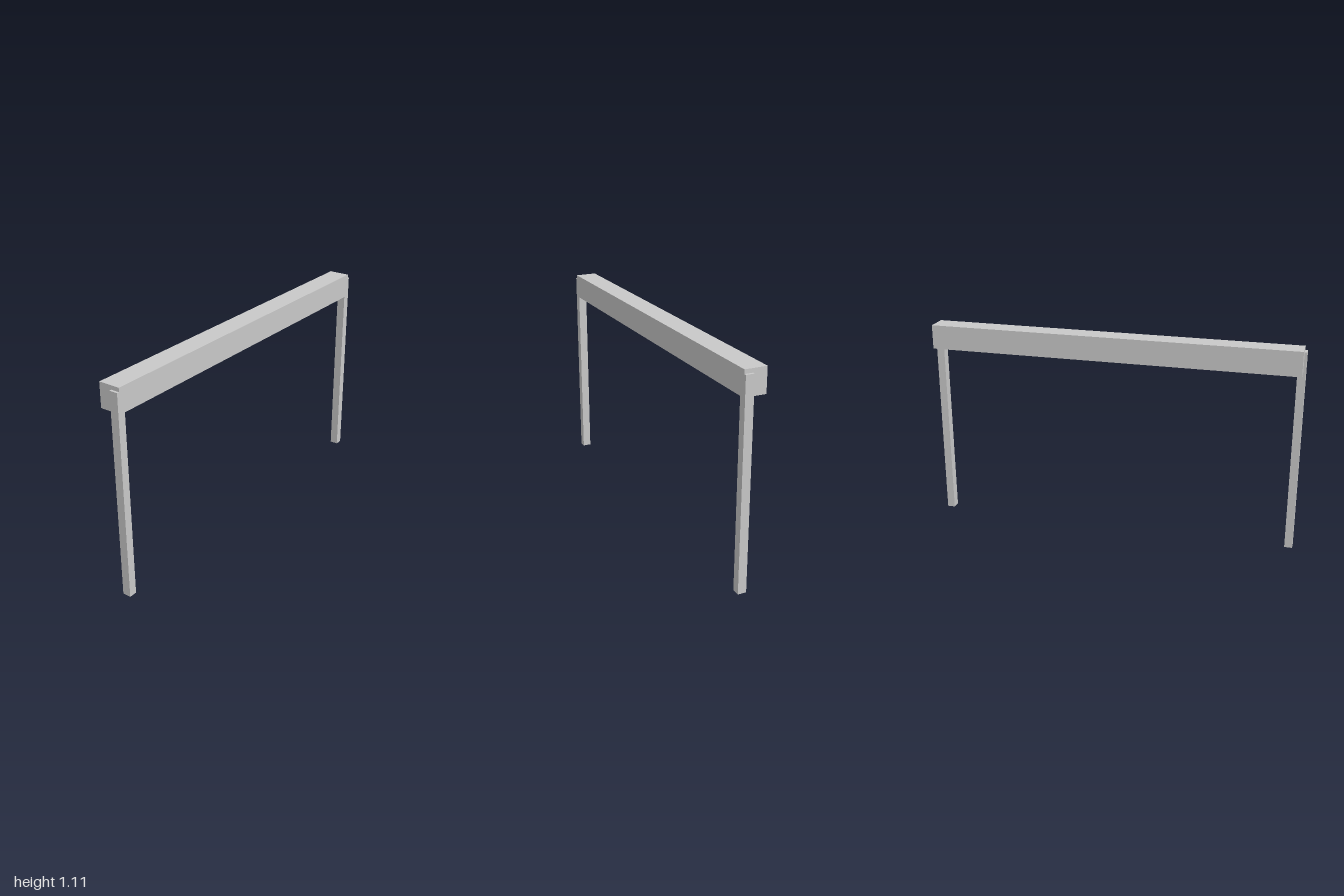
import * as THREE from 'three';

export function createModel() {
  const model = new THREE.Group();
  model.name = 'beamFrame';

  const grey = new THREE.MeshStandardMaterial({ color: 0xc8c8c8 });
  grey.name = 'light grey';

  // Box given by its lowest and highest corners
  function addBox(name, [x0, y0, z0], [x1, y1, z1]) {
    const mesh = new THREE.Mesh(new THREE.BoxGeometry(x1 - x0, y1 - y0, z1 - z0), grey);
    mesh.position.set((x0 + x1) / 2, (y0 + y1) / 2, (z0 + z1) / 2);
    mesh.name = name;
    model.add(mesh);
  }

  // Crossbeam, flush with the posts at the front
  addBox('crossbeam', [-0.987, 0.979, -0.058], [0.987, 1.109, 0.058]);

  // Slim posts, standing slightly proud of the beam ends
  addBox('leftPost', [0.958, 0, 0.013], [1, 1.088, 0.058]);
  addBox('rightPost', [-1, 0, 0.013], [-0.958, 1.088, 0.058]);

  return model;
}
